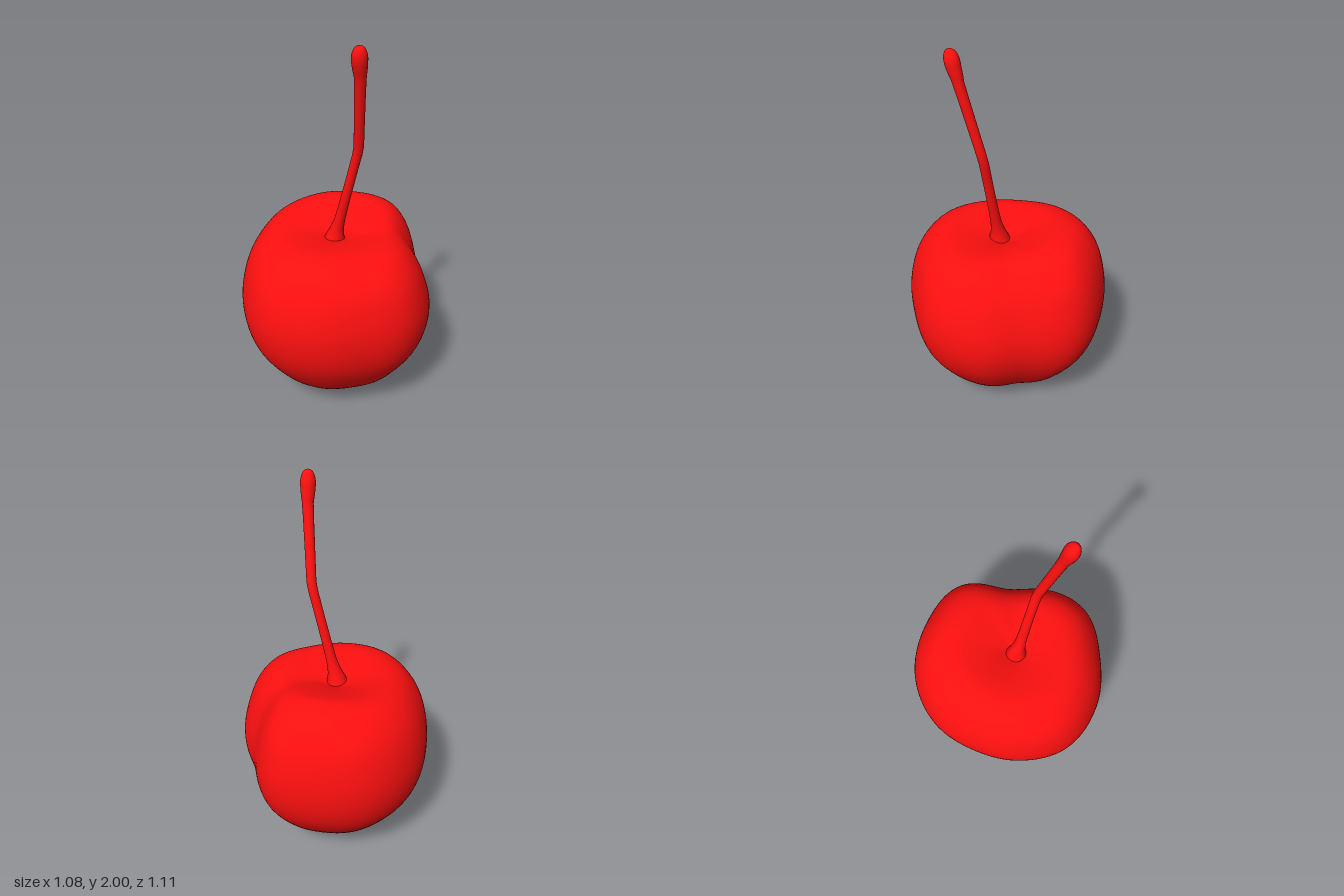
import * as THREE from 'three';
import { mergeVertices } from 'three/addons/utils/BufferGeometryUtils.js';

const red = new THREE.MeshStandardMaterial({ color: 0xff1010 });

// Smooth curve through [radius, height] pairs, sampled for a lathe
function profile(pairs, samples) {
  const curve = new THREE.SplineCurve(pairs.map(([r, y]) => new THREE.Vector2(r, y)));
  return curve.getPoints(samples).map((p) => new THREE.Vector2(Math.max(0, p.x), p.y));
}

// Lathe whose vertices are then moved by a rule, with a welded seam
function bentLathe(name, points, segments, move) {
  let geo = new THREE.LatheGeometry(points, segments);
  geo.deleteAttribute('uv');
  geo.deleteAttribute('normal');
  const pos = geo.attributes.position;
  const v = new THREE.Vector3();
  for (let i = 0; i < pos.count; i++) {
    move(v.fromBufferAttribute(pos, i));
    pos.setXYZ(i, v.x, v.y, v.z);
  }
  geo = mergeVertices(geo, 1e-5);
  geo.computeVertexNormals();
  const mesh = new THREE.Mesh(geo, red);
  mesh.name = name;
  return mesh;
}

// Outline radius every 30 degrees, from +x towards +z
const outline = [0.54, 0.51, 0.53, 0.55, 0.525, 0.512, 0.54, 0.555, 0.547, 0.556, 0.475, 0.515];

function outlineRadius(angle) {
  const n = outline.length;
  const t = ((angle / (2 * Math.PI)) * n + n) % n;
  const i = Math.floor(t), f = t - i;
  const [a, b, c, d] = [-1, 0, 1, 2].map((k) => outline[(i + k + n) % n]);
  return b + 0.5 * f * (c - a + f * (2 * a - 5 * b + 4 * c - d + f * (3 * (b - c) + d - a)));
}

function createFruit() {
  const points = profile([
    [0, 0], [0.2, 0.015], [0.4, 0.06], [0.62, 0.14], [0.85, 0.3], [0.96, 0.43], [1, 0.57],
    [0.975, 0.7], [0.9, 0.82], [0.77, 0.91], [0.62, 0.95], [0.45, 0.953], [0.25, 0.938],
    [0.1, 0.918], [0, 0.9],
  ], 64);
  return bentLathe('fruit', points, 96, (p) => {
    const angle = Math.atan2(p.z, p.x);
    const upper = THREE.MathUtils.smoothstep(p.y, 0.45, 0.95);
    const u = Math.hypot(p.x, p.z);
    // shallow dent at the back, towards +x
    const dent = Math.exp(6 * (Math.cos(angle + 0.85) - 1));
    const r = outlineRadius(angle) * (1 - 0.1 * upper * dent);
    // raised shoulder at the back, towards -x
    const lift = Math.pow(0.5 + 0.5 * Math.cos(angle + 1.95), 2);
    p.y += 0.055 * upper * Math.min(1, u / 0.5) * (lift - 0.6 * dent);
    p.x *= r;
    p.z *= r;
  });
}

function createStem() {
  // centre line as [y, x, z]
  const path = [
    [0.89, 0, 0.035], [0.96, 0.015, 0.03], [1.05, 0.042, 0.024], [1.42, 0.136, 0.002],
    [1.47, 0.149, 0.004], [1.84, 0.22, 0.072], [1.92, 0.232, 0.09], [2, 0.24, 0.1],
  ];
  const points = profile([
    [0, 0.89], [0.055, 0.9], [0.05, 0.93], [0.037, 0.98], [0.028, 1.06], [0.025, 1.25],
    [0.025, 1.42], [0.025, 1.47], [0.026, 1.65], [0.028, 1.82], [0.036, 1.89],
    [0.039, 1.945], [0.03, 1.98], [0.015, 1.996], [0, 2],
  ], 70);
  return bentLathe('stem', points, 24, (p) => {
    let i = 0;
    while (i < path.length - 2 && p.y > path[i + 1][0]) i++;
    const [y0, x0, z0] = path[i], [y1, x1, z1] = path[i + 1];
    const f = (p.y - y0) / (y1 - y0);
    p.x = p.x * (p.y > 1.84 ? 0.93 : 1) + x0 + f * (x1 - x0);
    p.z += z0 + f * (z1 - z0);
  });
}

export function createModel() {
  const group = new THREE.Group();
  group.name = 'cherry';
  group.add(createFruit(), createStem());
  return group;
}
